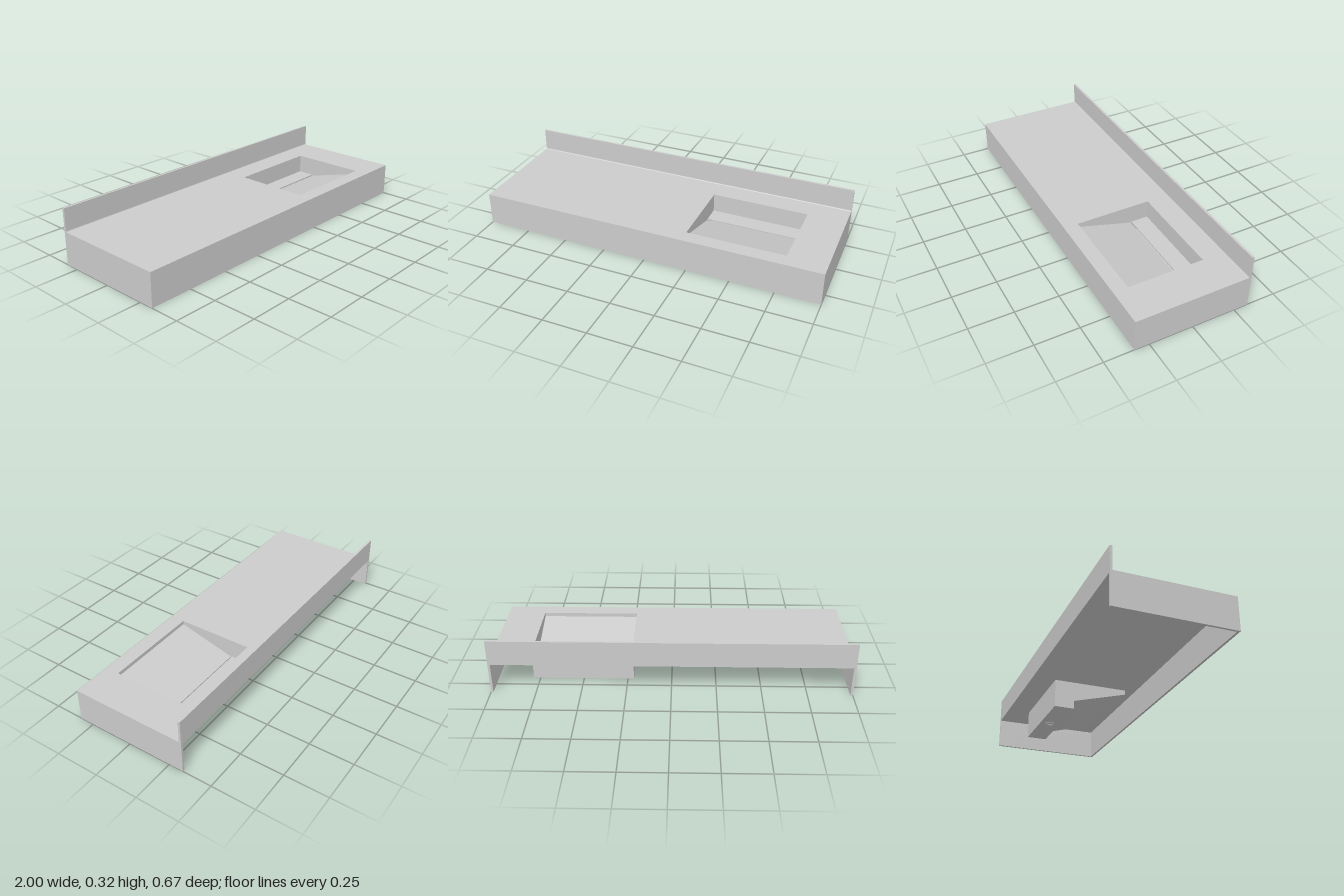
import * as THREE from 'three';

const TOP = 0.19, SLAB = 0.013, UNDER = TOP - SLAB;
const HALF_Z = 0.333;
// sink opening
const X0 = 0.22, X1 = 0.78, BACK = -0.19, STEP = -0.08, FRONT = 0.25;
const WALL = 0.005;

export function createModel() {
  const model = new THREE.Group();
  const mat = new THREE.MeshStandardMaterial({ color: 0xcccccc });

  const add = (name, geo, x = 0, y = 0, z = 0, parent = model) => {
    const mesh = new THREE.Mesh(geo, mat);
    mesh.name = name;
    mesh.position.set(x, y, z);
    parent.add(mesh);
    return mesh;
  };
  // side profile of [z, y] points swept from x0 to x1
  const sweep = (name, shape, x0, x1, parent) => {
    const geo = new THREE.ExtrudeGeometry(shape, { depth: x1 - x0, bevelEnabled: false, curveSegments: 6 });
    geo.rotateY(Math.PI / 2);
    return add(name, geo, x0, 0, 0, parent);
  };
  const profile = (pts) => new THREE.Shape(pts.map(([z, y]) => new THREE.Vector2(-z, y)));

  // countertop with the sink cut-out
  const top = new THREE.Shape();
  top.moveTo(-1, -HALF_Z).lineTo(1, -HALF_Z).lineTo(1, HALF_Z).lineTo(-1, HALF_Z).closePath();
  const cut = new THREE.Path();
  cut.moveTo(X0, -FRONT).lineTo(X0, -BACK).lineTo(X1, -BACK).lineTo(X1, -FRONT).closePath();
  top.holes.push(cut);
  const topGeo = new THREE.ExtrudeGeometry(top, { depth: SLAB, bevelEnabled: false });
  topGeo.rotateX(-Math.PI / 2);
  add('countertop', topGeo, 0, UNDER, 0);

  // upstand along the back with a small cove at its foot
  const cove = new THREE.Shape();
  const face = HALF_Z - SLAB, r = 0.007;
  cove.moveTo(HALF_Z, TOP).lineTo(HALF_Z, 0.323).lineTo(face, 0.323).lineTo(face, TOP + r);
  cove.quadraticCurveTo(face, TOP, face - r, TOP);
  cove.closePath();
  sweep('backsplash', cove, -1, 1);

  // aprons on the front and both ends, the back is open
  add('frontApron', new THREE.BoxGeometry(2, UNDER, SLAB), 0, UNDER / 2, HALF_Z - SLAB / 2);
  for (const s of [-1, 1]) {
    add(s > 0 ? 'leftApron' : 'rightApron', new THREE.BoxGeometry(SLAB, UNDER, 2 * HALF_Z - SLAB),
      s * (1 - SLAB / 2), UNDER / 2, -SLAB / 2);
  }

  // sink: a ramp falling backwards into a deep trough
  const sink = new THREE.Group();
  sink.name = 'sink';
  model.add(sink);
  const outer = [
    [BACK - WALL, UNDER], [BACK - WALL, 0.008], [STEP + WALL, 0.008],
    [STEP + WALL, 0.058], [FRONT + WALL, 0.15], [FRONT + WALL, UNDER],
  ];
  const inner = [
    [FRONT, UNDER], [FRONT, 0.168], [STEP, 0.077],
    [STEP, 0.014], [BACK, 0.014], [BACK, UNDER],
  ];
  sweep('basinShell', profile([...outer, ...inner]), X0, X1, sink);
  sweep('basinRightWall', profile(outer), X0 - WALL, X0, sink);
  sweep('basinLeftWall', profile(outer), X1, X1 + WALL, sink);

  // cover plate over the trough, leaving a narrow slot at the ramp
  const plateDepth = STEP - BACK - 0.008;
  add('drainCover', new THREE.BoxGeometry(X1 - X0, 0.008, plateDepth),
    (X0 + X1) / 2, 0.077, BACK + plateDepth / 2, sink);

  // drain outlet under the trough
  const ring = new THREE.LatheGeometry([[0.02, 0.008], [0.02, 0.002], [0.03, 0.002], [0.03, 0.008]]
    .map(([x, y]) => new THREE.Vector2(x, y)).reverse(), 32);
  const drain = add('drainOutlet', ring, (X0 + X1) / 2, 0, (BACK + STEP) / 2, sink);
  drain.material = mat.clone();
  drain.material.side = THREE.DoubleSide;

  return model;
}
